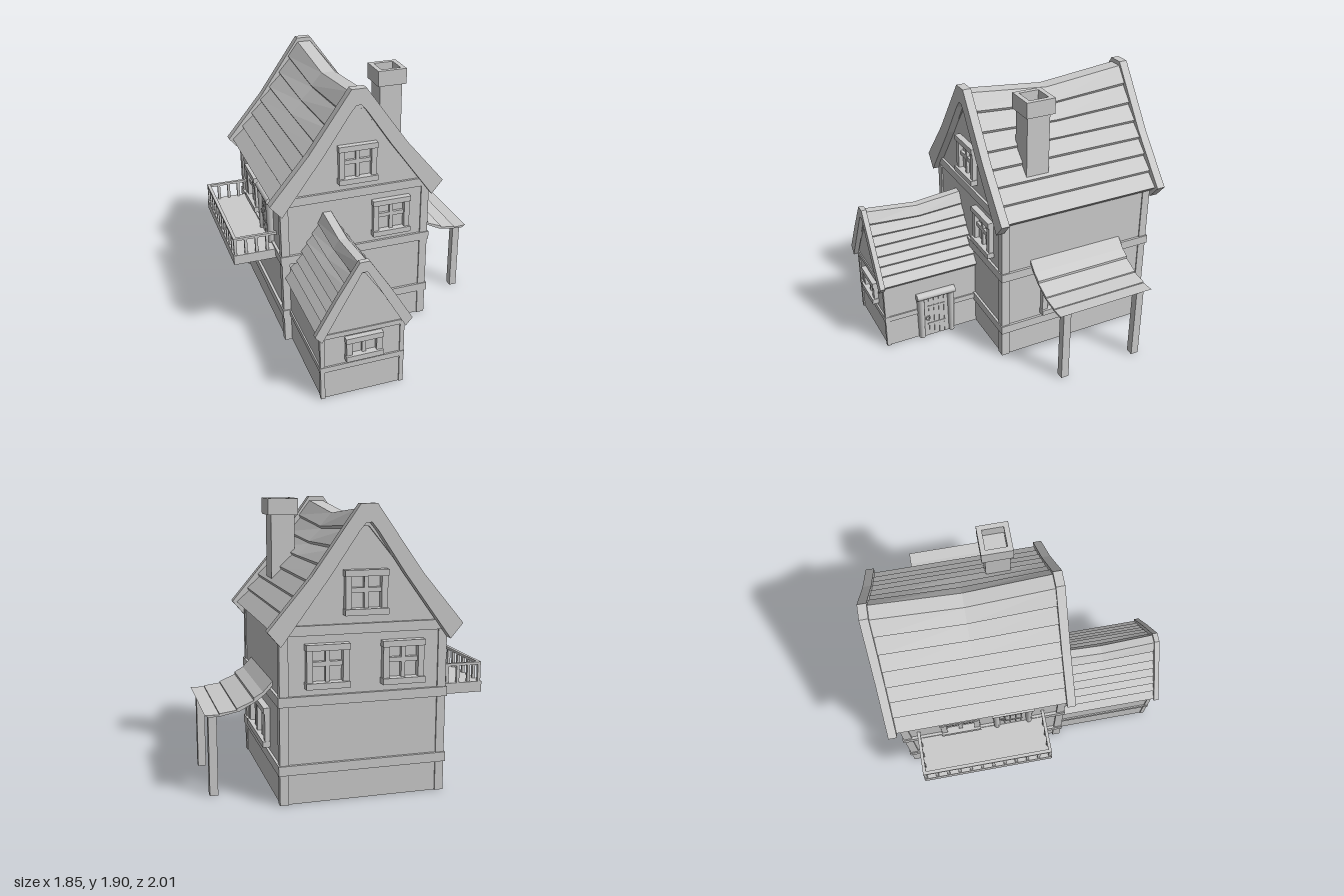
import * as THREE from 'three';

const mat = new THREE.MeshStandardMaterial({ color: 0xcccccc });
mat.name = 'plain grey';

function add(parent, geo, name, x = 0, y = 0, z = 0) {
  const m = new THREE.Mesh(geo, mat);
  m.name = name;
  m.position.set(x, y, z);
  parent.add(m);
  return m;
}

// Box given by its limits on each axis
function box(parent, name, x0, x1, y0, y1, z0, z1) {
  return add(parent, new THREE.BoxGeometry(x1 - x0, y1 - y0, z1 - z0), name,
    (x0 + x1) / 2, (y0 + y1) / 2, (z0 + z1) / 2);
}

// Outline in x,y pushed along z from z0 to z1
function prism(pts, z0, z1, steps = 1) {
  const shape = new THREE.Shape(pts.map(p => new THREE.Vector2(p[0], p[1])));
  const g = new THREE.ExtrudeGeometry(shape, { depth: z1 - z0, steps, bevelEnabled: false });
  return g.translate(0, 0, z0);
}

// Symmetric roof band: outer edge and inner edge, both listed ridge to eave
function band(outer, inner) {
  const right = [...outer, ...[...inner].reverse()];
  return [...right, ...[...right].reverse().map(([x, y]) => [-x, y])];
}

// Plank courses whose lower edges stand proud of the next course
function courses(pts, lip) {
  const out = [pts[0]];
  for (let i = 1; i < pts.length; i++) {
    out.push(pts[i]);
    if (i < pts.length - 1) out.push([pts[i][0] - lip * 0.5, pts[i][1] - lip]);
  }
  return out;
}

// Roof whose ridge sags halfway along
function saggingRoof(parent, name, cx, outline, z0, z1, sag, from, top) {
  const g = prism(outline, z0, z1, 2);
  const p = g.attributes.position, mid = (z0 + z1) / 2;
  for (let i = 0; i < p.count; i++) {
    if (Math.abs(p.getZ(i) - mid) > 0.01) continue;
    const t = THREE.MathUtils.clamp((p.getY(i) - from) / (top - from), 0, 1);
    p.setY(i, p.getY(i) - sag * t);
  }
  g.computeVertexNormals();
  return add(parent, g, name, cx);
}

// Framed window facing +z, standing on its sill
function makeWindow(parent, name, w, h, lights, x, y, z, turn = 0) {
  const g = new THREE.Group();
  g.name = name;
  const a = w / 2, j = 0.04, d = 0.034;
  box(g, 'sill', -a, a, 0, 0.04, -0.01, 0.05);
  box(g, 'head', -a, a, h - 0.04, h, -0.01, 0.043);
  for (const s of [-1, 1]) {
    const c = s * (a - 0.005 - j / 2);
    box(g, 'jamb', c - j / 2, c + j / 2, 0.04, h - 0.04, -0.01, d);
  }
  const inner = w - 0.01 - 2 * j, step = inner / lights;
  for (let i = 1; i < lights; i++) {
    const c = -inner / 2 + i * step, r = lights === 4 && i === 2 ? 0.022 : 0.013;
    box(g, 'mullion', c - r, c + r, 0.04, h - 0.04, -0.01, r > 0.02 ? d : 0.022);
  }
  if (lights === 2 && h > 0.2) box(g, 'crossbar', -inner / 2, inner / 2, h * 0.55 - 0.015, h * 0.55 + 0.015, -0.01, 0.02);
  g.position.set(x, y, z);
  g.rotation.y = turn;
  parent.add(g);
}

// Plank door with rounded log frame, facing +z
function makeDoor(parent, name, h, x, y, z, turn) {
  const g = new THREE.Group();
  g.name = name;
  for (let i = 0; i < 5; i++) {
    const c = (i - 2) * 0.04;
    box(g, 'doorPlank', c - 0.018, c + 0.018, 0, h - 0.04, -0.01, 0.014);
  }
  box(g, 'doorBack', -0.1, 0.1, 0, h - 0.04, -0.01, 0.008);
  for (const py of [0.1, h - 0.13]) box(g, 'doorBrace', -0.07, 0.07, py - 0.01, py + 0.01, 0, 0.018);
  for (const s of [-1, 1]) {
    const jamb = add(g, new THREE.CylinderGeometry(0.028, 0.023, h - 0.04, 14), 'doorJamb', s * 0.118, (h - 0.04) / 2, 0.005);
    jamb.scale.z = 1.25;
  }
  const lintel = add(g, new THREE.CylinderGeometry(0.026, 0.026, 0.3, 14), 'doorLintel', 0, h - 0.022, 0.012);
  lintel.rotation.z = Math.PI / 2;
  lintel.scale.z = 1.25;
  add(g, new THREE.TorusGeometry(0.016, 0.005, 6, 14), 'doorRing', -0.07, 0.16, 0.02);
  g.position.set(x, y, z);
  g.rotation.y = turn;
  parent.add(g);
}

// Walls with corner posts
function posts(parent, xs, zs, w, y1) {
  for (const [x, sx] of [[xs[0], 1], [xs[1], -1]]) for (const [z, sz] of [[zs[0], 1], [zs[1], -1]])
    box(parent, 'cornerPost', Math.min(x, x + sx * w), Math.max(x, x + sx * w), 0, y1,
      Math.min(z, z + sz * w), Math.max(z, z + sz * w));
}

export function createModel() {
  const house = new THREE.Group();
  house.name = 'cottage';

  // Main house
  const main = new THREE.Group();
  main.name = 'mainHouse';
  house.add(main);
  const MX = -0.063;
  add(main, prism([[-0.545, 0], [0.545, 0], [0.545, 1.08], [0.03, 1.79], [-0.03, 1.79], [-0.545, 1.08]], -0.925, 0.245), 'mainWalls', MX);
  posts(main, [-0.62, 0.49], [-0.935, 0.255], 0.058, 1.1);
  for (const y of [0.2, 0.646, 1.093]) box(main, 'wallBeam', -0.628, 0.5, y, y + 0.063, -0.945, 0.262);
  const mainCourses = courses([[0.05, 1.87], [0.13, 1.765], [0.21, 1.645], [0.293, 1.535],
    [0.37, 1.435], [0.445, 1.335], [0.525, 1.235], [0.606, 1.133]], 0.02);
  saggingRoof(main, 'mainRoof', MX, band(mainCourses, [[0.018, 1.76], [0.565, 1.095]]), -0.94, 0.25, 0.06, 1.5, 1.87);
  const mainBarge = band([[0.053, 1.9], [0.24, 1.636], [0.357, 1.472], [0.638, 1.138]],
    [[0.018, 1.786], [0.06, 1.735], [0.24, 1.47], [0.555, 1.04]]);
  for (const z of [-1, 0.24]) add(main, prism(mainBarge, z, z + 0.06), 'mainBargeBoard', MX);

  // Front wing
  const wing = new THREE.Group();
  wing.name = 'frontWing';
  house.add(wing);
  const WX = -0.28;
  add(wing, prism([[-0.288, 0], [0.288, 0], [0.288, 0.51], [0.01, 0.955], [-0.01, 0.955], [-0.288, 0.51]], 0.2, 0.958), 'wingWalls', WX);
  posts(wing, [-0.575, 0.015], [0.2, 0.967], 0.03, 0.5);
  box(wing, 'wingBeam', -0.578, 0.018, 0.215, 0.255, 0.2, 0.97);
  box(wing, 'wingTopBeam', -0.575, 0.015, 0.475, 0.51, 0.2, 0.966);
  const wingCourses = courses([[0.03, 1.01], [0.07, 0.93], [0.115, 0.855], [0.157, 0.79],
    [0.197, 0.725], [0.237, 0.665], [0.278, 0.605], [0.322, 0.535]], 0.014);
  saggingRoof(wing, 'wingRoof', WX, band(wingCourses, [[0.012, 0.93], [0.298, 0.508]]), 0.2, 0.968, 0.04, 0.8, 1.01);
  add(wing, prism(band([[0.033, 1.03], [0.186, 0.79], [0.337, 0.535]], [[0.018, 0.955], [0.29, 0.48]]), 0.964, 1), 'wingBargeBoard', WX);
  makeDoor(wing, 'wingDoor', 0.385, 0.012, 0, 0.575, Math.PI / 2);

  // Windows
  const back = Math.PI, left = Math.PI / 2, right = -Math.PI / 2;
  makeWindow(house, 'frontGableWindow', 0.285, 0.282, 2, -0.06, 1.213, 0.245);
  makeWindow(house, 'frontWindow', 0.285, 0.282, 2, 0.195, 0.76, 0.245);
  makeWindow(house, 'wingWindow', 0.26, 0.178, 2, -0.275, 0.287, 0.955);
  makeWindow(house, 'backGableWindow', 0.285, 0.282, 2, MX, 1.213, -0.935, back);
  for (const s of [-1, 1]) makeWindow(house, 'backWindow', 0.285, 0.282, 2, MX + s * 0.25, 0.76, -0.94, back);
  makeWindow(house, 'sideDoubleWindow', 0.56, 0.27, 4, 0.483, 0.285, -0.333, left);
  makeWindow(house, 'balconyWindow', 0.285, 0.282, 2, -0.608, 0.76, -0.51, right);

  // Balcony with railing
  const balcony = new THREE.Group();
  balcony.name = 'balcony';
  house.add(balcony);
  box(balcony, 'balconyFloor', -0.928, -0.6, 0.625, 0.697, -0.83, 0.105);
  box(balcony, 'frontRail', -0.923, -0.9, 0.812, 0.83, -0.825, 0.1);
  for (const z of [-0.825, 0.078]) {
    box(balcony, 'sideRail', -0.9, -0.61, 0.812, 0.83, z, z + 0.022);
    for (let i = 1; i < 4; i++) {
      const x = -0.912 + i * 0.077;
      box(balcony, 'baluster', x - 0.01, x + 0.01, 0.69, 0.815, z + 0.001, z + 0.021);
    }
  }
  for (let i = 0; i < 12; i++) {
    const z = -0.814 + i * (0.903 / 11);
    box(balcony, 'baluster', -0.922, -0.902, 0.69, 0.815, z - 0.01, z + 0.01);
  }
  makeDoor(balcony, 'balconyDoor', 0.36, -0.615, 0.697, -0.13, right);

  // Awning on two posts
  const awning = new THREE.Group();
  awning.name = 'awning';
  house.add(awning);
  const top = [[0.48, 0.76], [0.545, 0.69], [0.605, 0.655], [0.605, 0.638], [0.717, 0.592], [0.717, 0.582],
    [0.83, 0.568], [0.83, 0.56], [0.925, 0.563]];
  const under = [[0.9, 0.546], [0.82, 0.55], [0.7, 0.573], [0.59, 0.63], [0.535, 0.672], [0.48, 0.73]];
  add(awning, prism([...top, ...under], -0.7, 0.03), 'awningRoof');
  for (const z of [-0.655, -0.067]) box(awning, 'awningPost', 0.842, 0.897, 0, 0.555, z, z + 0.057);

  // Chimney with hollow cap
  const chimney = new THREE.Group();
  chimney.name = 'chimney';
  house.add(chimney);
  box(chimney, 'chimneyShaft', 0.2, 0.365, 1.25, 1.82, -0.162, 0.008);
  const rect = (C, r) => new C([[-r, -r], [r, -r], [r, r], [-r, r]].map(p => new THREE.Vector2(...p)));
  const cap = rect(THREE.Shape, 0.106);
  cap.holes.push(rect(THREE.Path, 0.072));
  add(chimney, new THREE.ExtrudeGeometry(cap, { depth: 0.112, bevelEnabled: false }).rotateX(-Math.PI / 2),
    'chimneyCap', 0.285, 1.79, -0.08);

  return house;
}
